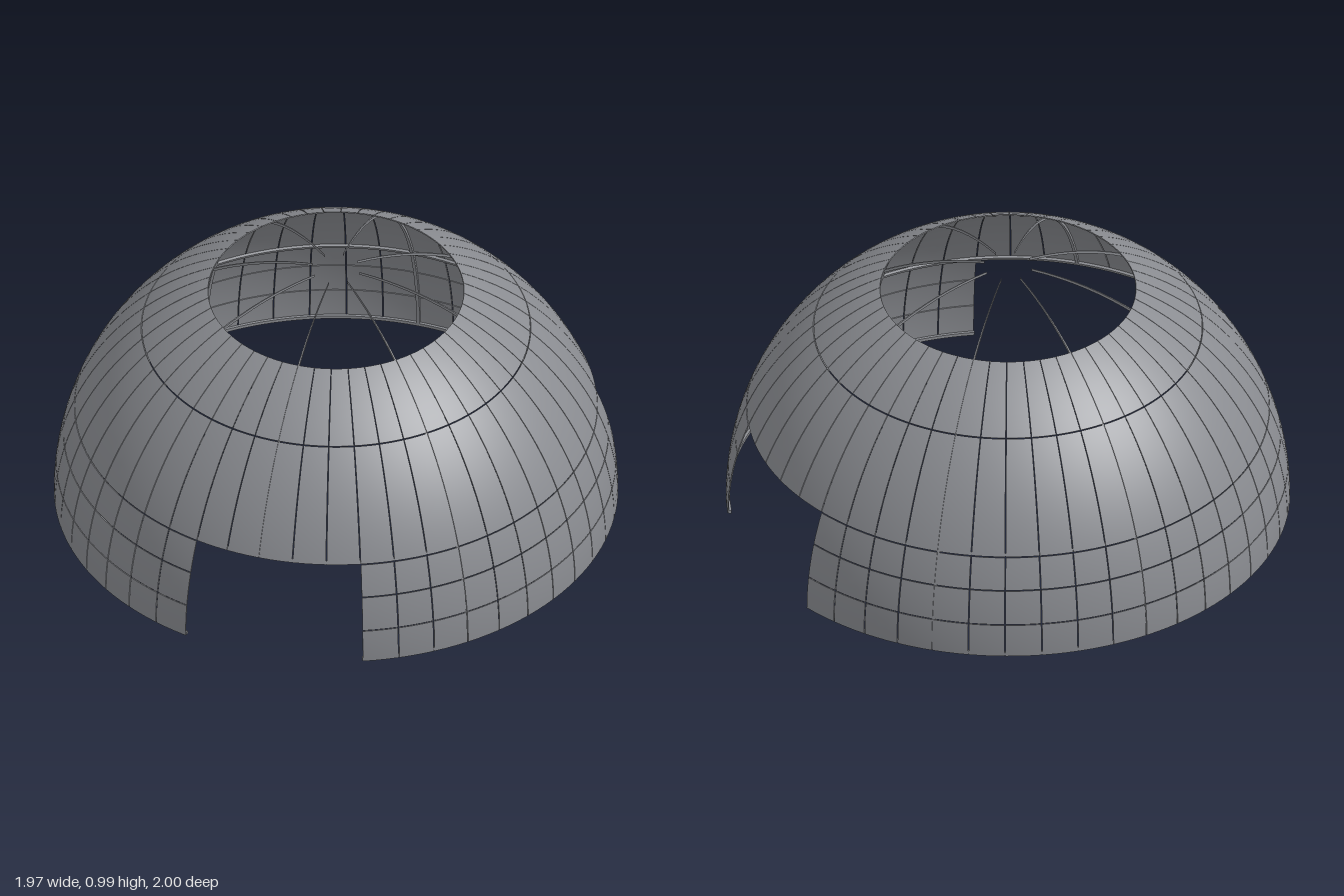
import * as THREE from 'three';
import { mergeGeometries } from 'three/addons/utils/BufferGeometryUtils.js';

const rad = THREE.MathUtils.degToRad;

// A box bent onto a sphere: x becomes longitude, y latitude, z radius (degrees and units).
function shellPatch(lon0, lon1, lat0, lat1, rIn, rOut, lonSegs) {
  const latSegs = Math.max(1, Math.ceil((lat1 - lat0) / 3));
  const g = new THREE.BoxGeometry(1, 1, 1, lonSegs, latSegs, 1);
  const p = g.attributes.position, n = g.attributes.normal;
  for (let i = 0; i < p.count; i++) {
    const lon = rad(lon0 + (p.getX(i) + 0.5) * (lon1 - lon0));
    const lat = rad(lat0 + (p.getY(i) + 0.5) * (lat1 - lat0));
    const r = rIn + (p.getZ(i) + 0.5) * (rOut - rIn);
    const out = new THREE.Vector3(Math.sin(lon) * Math.cos(lat), Math.sin(lat), Math.cos(lon) * Math.cos(lat));
    const east = new THREE.Vector3(Math.cos(lon), 0, -Math.sin(lon));
    const north = new THREE.Vector3().crossVectors(out, east);
    const normal = new THREE.Vector3()
      .addScaledVector(east, n.getX(i))
      .addScaledVector(north, n.getY(i))
      .addScaledVector(out, n.getZ(i));
    p.setXYZ(i, out.x * r, out.y * r, out.z * r);
    n.setXYZ(i, normal.x, normal.y, normal.z);
  }
  return g;
}

export function createModel() {
  const model = new THREE.Group();
  model.name = 'panelDome';
  const domeGrey = new THREE.MeshStandardMaterial({ color: 0x8a8c91 });
  domeGrey.name = 'domeGrey';

  const dome = new THREE.Group();
  dome.name = 'dome';
  dome.position.x = 0.015;
  model.add(dome);

  function addPart(name, patches) {
    const mesh = new THREE.Mesh(mergeGeometries(patches), domeGrey);
    mesh.name = name;
    dome.add(mesh);
  }

  const step = 7.5;          // width of one panel
  const gap = 0.1;           // half of the slit between panels
  const rows = [0, 7.4, 15, 22.1, 46.4, 63];
  const skin = 0.996;        // inside of the panels
  const ribIn = 0.986;       // inside of the ribs and rings
  // Two doorways, each five panels wide, through the three lower rows
  const isOpen = (lon) => (lon >= 67.5 && lon < 105) || (lon >= 300 && lon < 337.5);
  const columns = Array.from({ length: 48 }, (_, i) => i * step);
  const closedColumns = columns.filter((lon) => !isOpen(lon));

  // Rows of separate thin panels
  for (let row = 0; row < rows.length - 1; row++) {
    const bottom = rows[row] + (row > 0 ? gap : 0);
    const top = rows[row + 1] - (row < rows.length - 2 ? gap : 0);
    const lons = row < 3 ? closedColumns : columns;
    addPart('panelRow' + (row + 1),
      lons.map((lon) => shellPatch(lon + gap, lon + step - gap, bottom, top, skin, 1, 3)));
  }

  // Eight inner ribs, tapering as they rise over the round top opening
  for (let i = 0; i < 8; i++) {
    const lon = i * 45;
    const start = isOpen(lon) ? rows[3] + gap : 0;
    addPart('rib' + (i + 1), [shellPatch(lon - 0.35, lon + 0.35, start, 85, ribIn, skin, 1)]);
  }

  // Inner rings: along the foot of the wall, and above the doorways
  const ring = (lons, lat) => lons.map((lon) => shellPatch(lon, lon + step, lat, lat + 0.7, ribIn, skin, 3));
  addPart('footRing', ring(closedColumns, 0));
  addPart('lintelRing', ring(columns, rows[3] + gap));
  return model;
}
